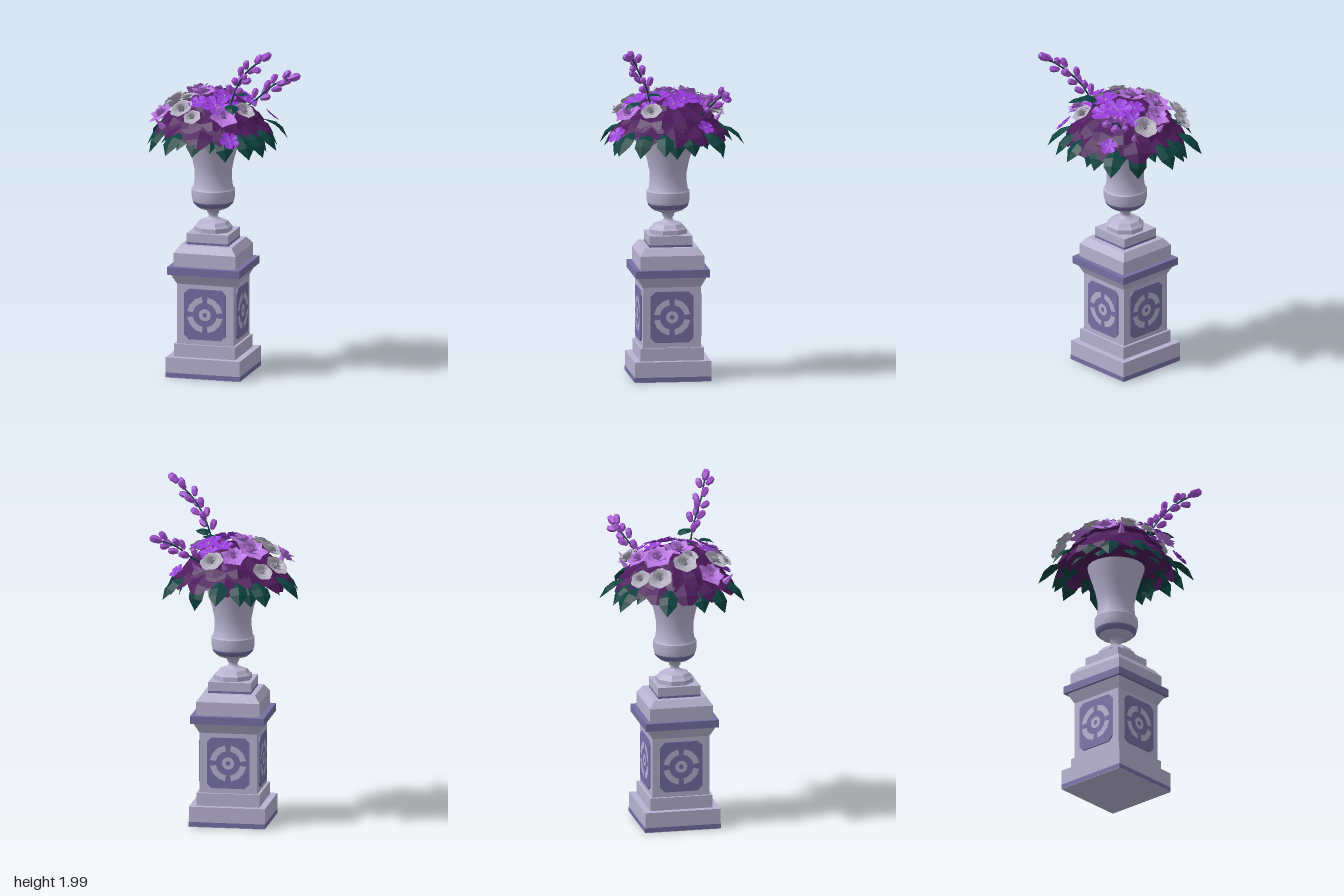
import * as THREE from 'three';
import { mergeGeometries } from 'three/addons/utils/BufferGeometryUtils.js';

const AXIS = new THREE.Vector3(-0.018, 0, 0.032);
const UP = new THREE.Vector3(0, 1, 0);
const rad = THREE.MathUtils.degToRad;

const material = (name, color, side = THREE.FrontSide) => {
  const m = new THREE.MeshStandardMaterial({ color, side });
  m.name = name;
  return m;
};
const stone = material('pale stone', 0xb8b2d1, THREE.DoubleSide);
const darkStone = material('dark stone', 0x7670a5, THREE.DoubleSide);
const plum = material('plum petals', 0x4d1a5c, THREE.DoubleSide);
const violet = material('violet petals', 0x9639d8, THREE.DoubleSide);
const lilac = material('lilac petals', 0xb974e1, THREE.DoubleSide);
const silver = material('silver petals', 0xb3afbf, THREE.DoubleSide);
const orchid = material('orchid buds', 0xa452d0);
const green = material('leaf green', 0x0a423f, THREE.DoubleSide);

// Faceted normals
function flat(geo) {
  const g = geo.index ? geo.toNonIndexed() : geo;
  g.deleteAttribute('uv');
  g.computeVertexNormals();
  return g;
}

function add(parent, name, geo, mat) {
  const mesh = new THREE.Mesh(geo, mat);
  mesh.name = name;
  parent.add(mesh);
  return mesh;
}

const lathe = (points, sides) =>
  new THREE.LatheGeometry(points.map(([r, y]) => new THREE.Vector2(r, y)), sides);

// Petal or leaf along +z; rows are [length fraction, half-width fraction, height]
function petal(length, halfWidth, rows, fold) {
  const pos = [], index = [];
  rows.forEach(([t, w, h]) => {
    for (const s of [-1, 0, 1]) {
      pos.push(s * w * halfWidth, (h + (s ? 0 : fold * w)) * length, t * length);
    }
  });
  for (let i = 0; i < rows.length - 1; i++) {
    for (let j = 0; j < 2; j++) {
      const a = i * 3 + j;
      index.push(a, a + 3, a + 1, a + 1, a + 3, a + 4);
    }
  }
  const g = new THREE.BufferGeometry();
  g.setAttribute('position', new THREE.Float32BufferAttribute(pos, 3));
  g.setIndex(index);
  return flat(g);
}
const ROUND = [[0, 0.25, 0], [0.4, 0.9, -0.03], [0.75, 0.85, 0], [1, 0.3, -0.06]];
const HEART = [[0, 0.12, 0], [0.45, 0.75, -0.03], [0.78, 1, 0], [1, 0.5, -0.05]];
const POINTED = [[0, 0.3, 0], [0.4, 1, -0.03], [0.75, 0.52, 0], [1, 0, -0.05]];
const LEAF = [[0, 0.3, 0], [0.35, 0.95, 0.05], [0.65, 0.9, 0.03], [1, 0, -0.08]];

// Circle of petals tilted up (or drooping when negative)
function whorl(count, radius, y, tilt, geo, phase = 0) {
  return Array.from({ length: count }, (_, i) =>
    geo.clone().rotateX(-rad(tilt)).translate(0, y, radius)
      .rotateY((i + phase) / count * Math.PI * 2));
}

// Square pedestal course with half-widths at bottom and top
function course(parent, name, y0, y1, h0, h1, mat) {
  const g = new THREE.CylinderGeometry(h1 * Math.SQRT2, h0 * Math.SQRT2, y1 - y0, 4);
  add(parent, name, flat(g.rotateY(Math.PI / 4).translate(0, (y0 + y1) / 2, 0)), mat);
}

function buildPedestal() {
  const p = new THREE.Group();
  p.name = 'pedestal';
  course(p, 'plinth', 0, 0.12, 0.223, 0.223, stone);
  course(p, 'groundStrip', 0.003, 0.03, 0.2242, 0.2242, darkStone);
  course(p, 'plinthStep', 0.12, 0.195, 0.185, 0.185, stone);
  course(p, 'shaft', 0.195, 0.55, 0.17, 0.17, stone);
  course(p, 'flare', 0.55, 0.61, 0.17, 0.2, stone);
  course(p, 'ledge', 0.61, 0.655, 0.216, 0.216, darkStone);
  course(p, 'capBlock', 0.655, 0.735, 0.187, 0.187, stone);
  course(p, 'capSlope', 0.735, 0.777, 0.187, 0.155, stone);
  course(p, 'topStrip', 0.777, 0.79, 0.125, 0.125, darkStone);
  course(p, 'topStep', 0.79, 0.842, 0.125, 0.125, stone);

  // Cut-corner panel with a broken diamond ornament on each face
  const w = 0.125, h = 0.15, c = 0.028;
  const shape = new THREE.Shape([[-w, c - h], [c - w, -h], [w - c, -h], [w, c - h],
    [w, h - c], [w - c, h], [c - w, h], [-w, h - c]].map(q => new THREE.Vector2(...q)));
  const plate = new THREE.ExtrudeGeometry(shape, { depth: 0.008, bevelEnabled: false });
  const ornament = [new THREE.RingGeometry(0.014, 0.036, 16)];
  for (let i = 0; i < 4; i++) {
    ornament.push(new THREE.RingGeometry(0.073, 0.108, 1, 1, Math.PI * (0.25 + i / 2) - 0.62, 1.24));
  }
  const pattern = mergeGeometries(ornament);
  for (let i = 0; i < 4; i++) {
    const face = new THREE.Group();
    face.name = 'facePanel';
    face.rotation.y = i * Math.PI / 2;
    add(face, 'panel', plate, darkStone).position.set(0, 0.375, 0.17);
    add(face, 'ornament', pattern, stone).position.set(0, 0.375, 0.1795);
    p.add(face);
  }
  return p;
}

function buildUrn() {
  const u = new THREE.Group();
  u.name = 'urn';
  add(u, 'foot', flat(lathe([[0.112, 0.84], [0.112, 0.868], [0.098, 0.88], [0.085, 0.897],
    [0.055, 0.907], [0.03, 0.912]], 8).rotateY(Math.PI / 8)), stone);
  add(u, 'stem', lathe([[0.055, 0.905], [0.03, 0.918], [0.024, 0.932], [0.034, 0.945],
    [0.034, 0.955], [0.045, 0.965]], 16), stone);
  add(u, 'bowlBase', lathe([[0, 0.96], [0.04, 0.963], [0.085, 0.978], [0.1, 0.99]], 24), stone);
  add(u, 'bowlBand', lathe([[0.1, 0.99], [0.115, 1.005], [0.12, 1.02]], 24), darkStone);
  add(u, 'bowl', lathe([[0.12, 1.02], [0.126, 1.045], [0.126, 1.09]], 24), stone);
  add(u, 'body', lathe([[0.126, 1.09], [0.115, 1.1], [0.108, 1.15], [0.108, 1.2], [0.122, 1.27],
    [0.143, 1.34], [0.165, 1.41], [0.172, 1.45]], 24), stone);
  return u;
}

// Point and outward direction on the bouquet for a position seen from above
function onDome(x, z) {
  const p = new THREE.Vector3(x, 0, z).sub(AXIS);
  const r = p.length();
  const normal = new THREE.Vector3(p.x * 2.6, 1, p.z * 2.6).normalize();
  p.y = 1.43 + 0.235 * Math.sqrt(Math.max(0.01, 1 - (r / 0.375) ** 2));
  return { point: p.addScaledVector(normal, -0.02), normal };
}

function buildBouquet() {
  const b = new THREE.Group();
  b.name = 'bouquet';
  add(b, 'core', flat(lathe([[0, 1.42], [0.17, 1.42], [0.29, 1.44], [0.29, 1.47], [0.2, 1.56],
    [0.1, 1.625], [0, 1.64]], 14)), plum);

  // Overlapping rings of large petals
  const big = (l, w) => petal(l, w, ROUND, 0.12);
  add(b, 'largePetals', mergeGeometries([
    ...whorl(12, 0.19, 1.53, -36, big(0.208, 0.095)),
    ...whorl(12, 0.12, 1.595, -27, big(0.2, 0.085), 0.5),
    ...whorl(9, 0.03, 1.645, -14, big(0.19, 0.085))]), plum);

  // Drooping leaves: where the tip lies, and how steeply it hangs
  const tips = [[-0.27, -0.345, 36], [-0.18, -0.32, 40], [-0.12, -0.355, 36], [0.015, -0.405, 33],
    [0.16, -0.27, 66], [0.35, -0.24, 36], [0.335, -0.08, 40], [0.3, 0.02, 50], [0.38, 0.1, 36],
    [0.29, 0.36, 38], [0.15, 0.37, 48], [-0.04, 0.405, 36], [-0.2, 0.405, 36], [-0.34, 0.26, 46],
    [-0.385, 0.13, 36], [-0.42, -0.1, 36], [0.34, 0.24, 42]];
  const leaves = tips.map(([x, z, droop]) => {
    const dx = x - AXIS.x, dz = z - AXIS.z;
    return petal(0.18, 0.056, LEAF, 0.1).rotateX(rad(droop))
      .translate(0, 1.47, Math.hypot(dx, dz) + 0.01 - 0.18 * Math.cos(rad(droop)))
      .rotateY(Math.atan2(dx, dz));
  });
  leaves.push(...whorl(9, 0.17, 1.45, -28, petal(0.16, 0.045, LEAF, 0.1), 0.3));
  add(b, 'leaves', mergeGeometries(leaves), green);

  // Two leaves at the foot of the tall spike
  const small = petal(0.11, 0.042, LEAF, 0.1);
  add(b, 'topLeaves', mergeGeometries([
    small.clone().rotateX(-0.2).rotateY(0.5).translate(0.17, 1.67, 0.06),
    small.clone().rotateX(0.25).rotateY(0.4).translate(0.155, 1.635, 0.18)]), green);

  // Unit-radius blossoms
  const rose = mergeGeometries([
    ...whorl(6, 0.1, 0, 22, petal(0.95, 0.6, ROUND, -0.1)),
    ...whorl(5, 0.08, 0.08, 42, petal(0.78, 0.5, ROUND, -0.1), 0.5),
    ...whorl(5, 0.12, 0.12, 65, petal(0.5, 0.3, ROUND, -0.1)),
    ...whorl(4, 0.08, 0.15, 84, petal(0.42, 0.16, ROUND, -0.1), 0.5)]);
  const pointedBloom = mergeGeometries([
    ...whorl(5, 0.1, 0.05, 14, petal(0.95, 0.5, POINTED, -0.1)),
    ...whorl(5, 0.08, 0.12, 32, petal(0.75, 0.4, POINTED, -0.1), 0.5),
    ...whorl(5, 0.1, 0.15, 62, petal(0.45, 0.25, POINTED, -0.1)),
    ...whorl(4, 0.06, 0.15, 84, petal(0.36, 0.14, POINTED, -0.1))]);
  const star = mergeGeometries(whorl(5, 0.05, 0.3, 12, petal(0.98, 0.45, HEART, -0.1)));
  const eye = flat(new THREE.CylinderGeometry(0.06, 0.1, 0.14, 5).translate(0, 0.36, 0));

  const plant = (name, geo, mat, list) => list.forEach(([x, z, size], i) => {
    const { point, normal } = onDome(x, z);
    const flower = new THREE.Group();
    flower.name = name;
    flower.position.copy(point);
    flower.quaternion.setFromUnitVectors(UP, normal);
    flower.rotateY(i * 1.3);
    flower.scale.setScalar(size);
    add(flower, 'petals', geo, mat);
    if (geo === star) add(flower, 'centre', eye, silver);
    b.add(flower);
  });
  plant('rose', rose, silver, [[-0.235, -0.22, 0.06], [-0.3, -0.115, 0.07], [-0.24, 0.045, 0.07],
    [-0.16, 0.095, 0.048], [-0.15, 0.245, 0.07], [-0.065, 0.32, 0.052], [0.065, -0.23, 0.07],
    [0.21, 0.16, 0.062]]);
  plant('pointedBloom', pointedBloom, lilac, [[-0.06, -0.195, 0.08], [-0.15, -0.095, 0.1],
    [-0.08, 0.043, 0.094], [-0.29, 0.19, 0.084], [0.12, 0.285, 0.084]]);
  plant('starFlower', star, violet, [[0.02, -0.09, 0.056], [0.095, -0.15, 0.056],
    [0.11, -0.043, 0.08], [0.175, 0.025, 0.062], [0.07, 0.1, 0.07], [-0.06, 0.205, 0.056],
    [0.055, 0.23, 0.08], [0.17, 0.355, 0.056], [0.285, -0.15, 0.048], [0.155, 0.17, 0.048]]);
  plant('pointedBud', flat(new THREE.ConeGeometry(0.5, 2, 5).translate(0, 1, 0)), lilac,
    [[-0.26, 0.29, 0.042], [-0.015, -0.27, 0.034], [0.16, -0.235, 0.034]]);
  return b;
}

// Arching flower spike with buds spiralling up the stem
function buildSpike(points, count) {
  const s = new THREE.Group();
  s.name = 'flowerSpike';
  const curve = new THREE.CatmullRomCurve3(points.map(p => new THREE.Vector3(...p).sub(AXIS)));
  add(s, 'stem', new THREE.TubeGeometry(curve, 10, 0.005, 5), green);
  const bud = flat(lathe([[0, 0], [0.014, 0.008], [0.022, 0.04], [0.017, 0.062], [0, 0.07]], 5));
  for (let i = 0; i <= count; i++) {
    const t = 0.25 + 0.68 * i / count;
    const along = curve.getTangent(t);
    const out = new THREE.Vector3(0, 0, 1).cross(along).normalize().applyAxisAngle(along, i * 2.4);
    const dir = along.clone().addScaledVector(out, i === count ? 0 : 0.6).normalize();
    const m = add(s, 'bud', bud, orchid);
    m.position.copy(curve.getPoint(t)).addScaledVector(out, i === count ? 0 : 0.015);
    m.quaternion.setFromUnitVectors(UP, dir);
    m.scale.setScalar(i === count ? 1.15 : 0.95);
  }
  return s;
}

export function createModel() {
  const model = new THREE.Group();
  model.name = 'flowerUrnOnPedestal';
  const body = new THREE.Group();
  body.name = 'flowerUrn';
  body.position.copy(AXIS);
  body.add(buildPedestal(), buildUrn(), buildBouquet(),
    buildSpike([[0.1, 1.55, 0.14], [0.16, 1.72, 0.18], [0.24, 1.84, 0.24], [0.375, 1.955, 0.3]], 12),
    buildSpike([[0.1, 1.52, -0.11], [0.2, 1.6, -0.17], [0.28, 1.67, -0.22], [0.37, 1.705, -0.245]], 9));
  model.add(body);
  return model;
}
